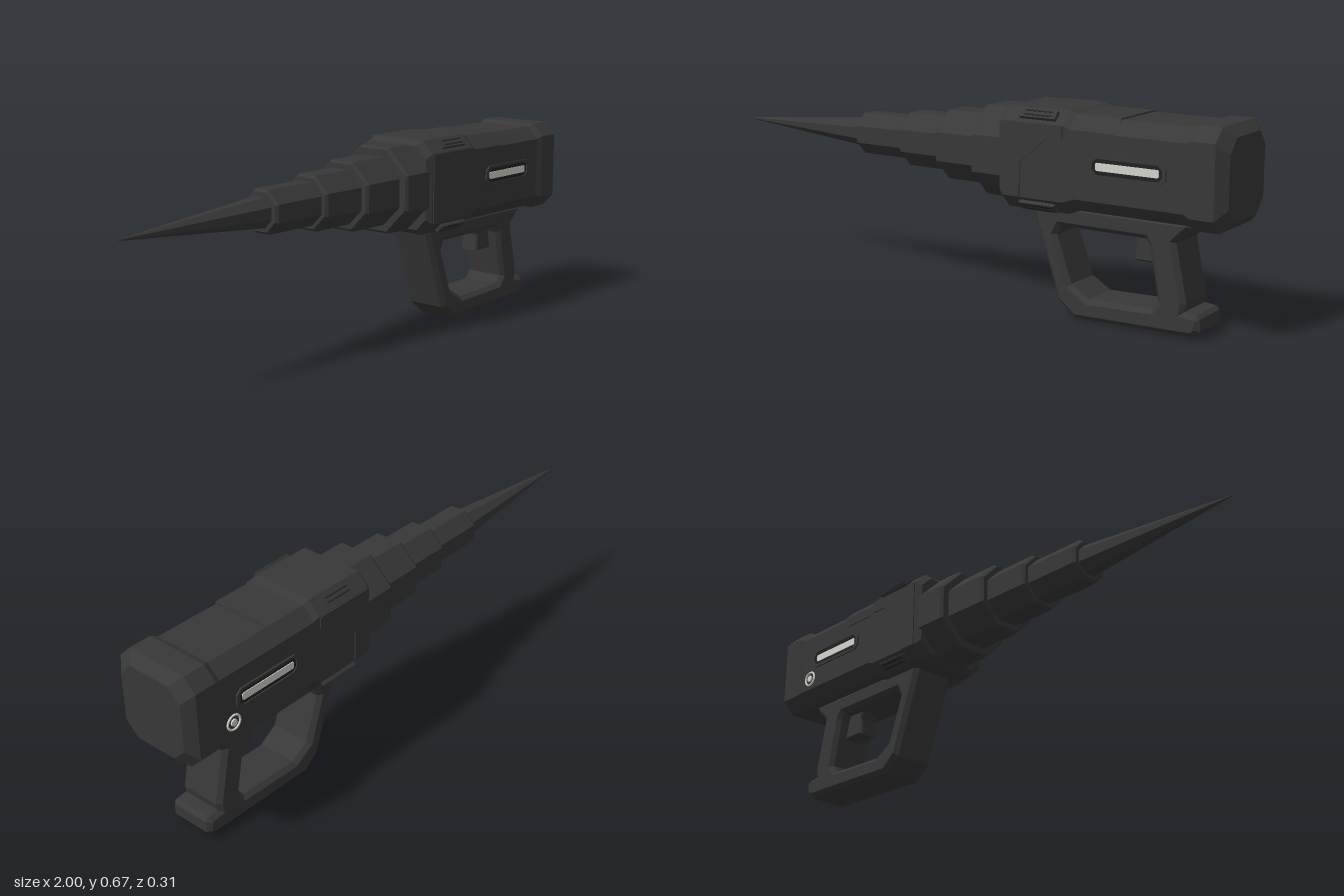
import * as THREE from 'three';

const CY = 0.509; // height of the barrel axis

export function createModel() {
  const root = new THREE.Group();
  const mat = (name, color, flatShading = true) => {
    const m = new THREE.MeshStandardMaterial({ color, flatShading });
    m.name = name;
    return m;
  };
  const charcoal = mat('charcoal casing', 0x383838);
  const black = mat('black recess', 0x222222);
  const pale = mat('pale light', 0xd4d4ce);

  const add = (name, geo, material, parent = root) => {
    const m = new THREE.Mesh(geo, material);
    m.name = name;
    parent.add(m);
    return m;
  };

  // Chamfered octagon sections [x, halfHeight, halfDepth, chamfer] joined along x
  const loft = (sections) => {
    const rings = sections.map(([x, h, d, c]) => [
      [h, -d + c], [h, d - c], [h - c, d], [-h + c, d],
      [-h, d - c], [-h, -d + c], [-h + c, -d], [h - c, -d],
    ].map(([y, z]) => [x, CY + y, z]));
    const pos = [];
    const tri = (...p) => p.forEach((v) => pos.push(...v));
    const first = rings[0], last = rings[rings.length - 1];
    for (let j = 0; j < 8; j++) {
      const k = (j + 1) % 8;
      for (let i = 0; i + 1 < rings.length; i++) {
        const a = rings[i], b = rings[i + 1];
        tri(a[j], a[k], b[k]);
        tri(a[j], b[k], b[j]);
      }
      tri([first[0][0], CY, 0], first[k], first[j]);
      tri([last[0][0], CY, 0], last[j], last[k]);
    }
    const g = new THREE.BufferGeometry();
    g.setAttribute('position', new THREE.Float32BufferAttribute(pos, 3));
    g.computeVertexNormals();
    return g;
  };

  const shapeOf = (pts) => new THREE.Shape(pts.map(([x, y]) => new THREE.Vector2(x, y)));
  const extrude = (shape, depth, bevel = 0) => new THREE.ExtrudeGeometry(shape, {
    depth: depth - 2 * bevel, bevelEnabled: bevel > 0, bevelThickness: bevel,
    bevelSize: bevel, bevelOffset: -bevel, bevelSegments: 1,
  }).translate(0, 0, bevel);
  // Thin plate on one side face, between depths z0 and z1
  const sidePlate = (name, pts, z0, z1, side, material) =>
    add(name, extrude(shapeOf(pts), z1 - z0).translate(0, 0, side > 0 ? z0 : -z1), material);

  // Casing
  add('body', loft([[0.3, 0.149, 0.146, 0.043], [0.885, 0.149, 0.146, 0.043]]), charcoal);
  add('frontCollar', loft([
    [0.215, 0.145, 0.14, 0.04], [0.235, 0.163, 0.153, 0.043],
    [0.455, 0.163, 0.153, 0.043], [0.495, 0.149, 0.146, 0.043],
  ]), charcoal);
  add('rearCap', loft([
    [0.865, 0.148, 0.145, 0.043], [0.89, 0.158, 0.155, 0.043],
    [0.968, 0.158, 0.155, 0.043], [1, 0.127, 0.122, 0.045],
  ]), charcoal);

  // Raised cover over the upper body, with slanted rear edge on top
  const cover = extrude(shapeOf([
    [-0.15, 0.585], [0.15, 0.585], [0.15, 0.619], [0.107, 0.663], [-0.107, 0.663], [-0.15, 0.619],
  ]), 0.185).rotateY(Math.PI / 2).translate(0.45, 0, 0);
  const cp = cover.attributes.position;
  for (let i = 0; i < cp.count; i++) {
    if (cp.getX(i) > 0.6 && cp.getY(i) < 0.6) cp.setX(i, 0.605);
  }
  cover.computeVertexNormals();
  add('upperCover', cover, charcoal);

  // Telescoping nose: [start x, end x, radius]
  [[0.105, 0.225, 0.147], [-0.06, 0.115, 0.116], [-0.23, -0.05, 0.091], [-0.435, -0.22, 0.071]]
    .forEach(([x0, x1, r], i) => {
      const s = r - 0.008;
      add(`noseStage${i + 1}`, loft([
        [x0, s, s, s * 0.586], [x0 + 0.01, r, r, r * 0.586], [x1, r, r, r * 0.586],
      ]), charcoal);
    });
  add('noseSpike', loft([[-1, 0.002, 0.002, 0.0011], [-0.425, 0.05, 0.05, 0.0293]]), charcoal);

  for (const side of [1, -1]) {
    // Collar side panel
    sidePlate('collarPanel', [
      [0.24, 0.39], [0.3, 0.39], [0.3, 0.5], [0.4, 0.585], [0.455, 0.585], [0.455, 0.627], [0.24, 0.627],
    ], 0.15, 0.157, side, charcoal);

    // Light slot with its frame
    const slot = (x0, x1, y0, y1, c) => [
      [x0 + c, y0], [x1 - c, y0], [x1, y0 + c], [x1, y1 - c],
      [x1 - c, y1], [x0 + c, y1], [x0, y1 - c], [x0, y0 + c],
    ];
    const frame = shapeOf(slot(0.548, 0.81, 0.48, 0.549, 0.018));
    frame.holes.push(new THREE.Path(shapeOf(slot(0.56, 0.798, 0.489, 0.54, 0.014)).getPoints().reverse()));
    add('lightFrame', extrude(frame, 0.008).translate(0, 0, side > 0 ? 0.144 : -0.152), charcoal);
    sidePlate('lightRecess', slot(0.56, 0.798, 0.489, 0.54, 0.014), 0.144, 0.1475, side, black);
    sidePlate('lightBar', slot(0.57, 0.786, 0.502, 0.527, 0.004), 0.145, 0.15, side, pale);

    // Vents on the four chamfers of the collar
    for (const up of [1, -1]) {
      const vent = new THREE.Group();
      vent.name = 'collarVent';
      vent.position.set(0.36, CY + up * 0.1415, side * 0.1315);
      vent.rotation.x = up * side > 0 ? Math.PI / 4 : -Math.PI / 4;
      root.add(vent);
      add('ventBlock', new THREE.BoxGeometry(0.13, 0.024, 0.034), charcoal, vent);
      for (const z of [-0.008, 0.008]) {
        add('ventSlit', new THREE.BoxGeometry(0.1, 0.026, 0.005), black, vent).position.z = z;
      }
    }
  }

  // Round fitting on the back face
  add('fittingRing', new THREE.TorusGeometry(0.025, 0.004, 6, 24).translate(0.825, 0.445, -0.147), pale);
  add('fittingCentre', new THREE.CylinderGeometry(0.012, 0.012, 0.008, 12)
    .rotateX(Math.PI / 2).translate(0.825, 0.445, -0.147), pale);

  // Looped grip with chamfered edges
  const grip = shapeOf([
    [0.3, 0.37], [0.305, 0.335], [0.4, 0.055], [0.46, 0.006], [0.875, 0.016], [0.897, 0.035],
    [0.897, 0.075], [0.885, 0.086], [0.845, 0.09], [0.85, 0.115], [0.81, 0.3], [0.86, 0.35], [0.86, 0.37],
  ]);
  grip.holes.push(new THREE.Path([
    [0.39, 0.27], [0.405, 0.3], [0.71, 0.3], [0.722, 0.28], [0.755, 0.11],
    [0.735, 0.082], [0.51, 0.075], [0.445, 0.115],
  ].map(([x, y]) => new THREE.Vector2(x, y))));
  const gripGeo = extrude(grip, 0.166, 0.015).translate(0, 0, -0.083);
  // Settle the base on the ground
  gripGeo.computeBoundingBox();
  gripGeo.translate(0, -gripGeo.boundingBox.min.y, 0);
  add('grip', gripGeo, charcoal);

  add('trigger', extrude(shapeOf([
    [0.63, 0.32], [0.655, 0.27], [0.65, 0.21], [0.745, 0.21], [0.735, 0.32],
  ]), 0.07, 0.006).translate(0, 0, -0.035), charcoal);

  // Flat rail under the body joining it to the grip
  add('underRail', new THREE.BoxGeometry(0.53, 0.03, 0.13).translate(0.59, 0.352, 0), charcoal);

  return root;
}
